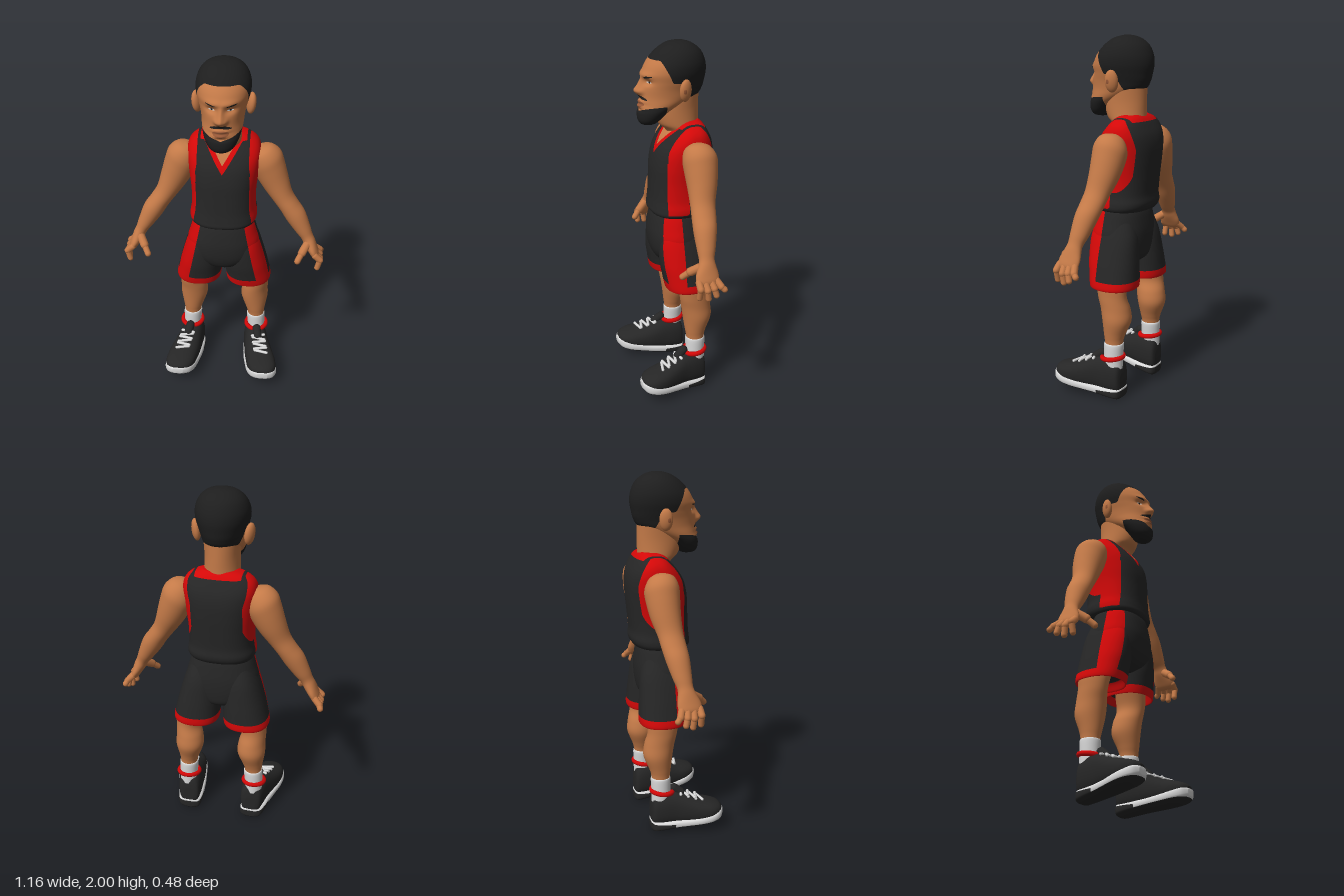
import * as THREE from 'three';

const mat = (name, color, side = THREE.FrontSide) => Object.assign(new THREE.MeshStandardMaterial({ color, side }), { name });
const V = (x, y, z) => new THREE.Vector3(x, y, z);
const UP = V(0, 1, 0), FRONT = V(0, 0, 1);

// Smooth blend through the rows of a table, u in 0..1
function sample(rows, u) {
  const s = u * (rows.length - 1), i = Math.min(Math.floor(s), rows.length - 2), t = s - i;
  const at = k => rows[Math.max(0, Math.min(rows.length - 1, k))];
  return rows[0].map((_, c) => {
    const [p, q, r, w] = [at(i - 1)[c], at(i)[c], at(i + 1)[c], at(i + 2)[c]];
    return q + 0.5 * t * (r - p + t * (2 * p - 5 * q + 4 * r - w + t * (3 * (q - r) + w - p)));
  });
}

// Closed skin over rounded sections [x, y, z, half width, half depth] stacked along T
function loft(rows, T, D, { seg = 32, steps = 40, power = 2, shape } = {}) {
  const U = D.clone().cross(T), pos = [], idx = [];
  const pw = v => Math.sign(v) * Math.abs(v) ** (2 / power);
  for (let i = 0; i <= steps; i++) {
    const [x, y, z, a, b] = sample(rows, i / steps);
    for (let j = 0; j < seg; j++) {
      const t = (j / seg) * Math.PI * 2;
      const p = V(x, y, z).addScaledVector(U, Math.max(a, 0.001) * pw(Math.cos(t)))
        .addScaledVector(D, Math.max(b, 0.001) * pw(Math.sin(t)));
      if (shape) shape(p);
      pos.push(p.x, p.y, p.z);
      if (i < steps) {
        const q = i * seg + j, r = i * seg + (j + 1) % seg;
        idx.push(q, r, r + seg, q, r + seg, q + seg);
      }
    }
  }
  const n = pos.length / 3, last = n - seg;
  pos.push(...rows[0].slice(0, 3), ...rows[rows.length - 1].slice(0, 3));
  for (let j = 0; j < seg; j++) {
    const k = (j + 1) % seg;
    idx.push(n, k, j, n + 1, last + j, last + k);
  }
  const g = new THREE.BufferGeometry();
  g.setAttribute('position', new THREE.Float32BufferAttribute(pos, 3));
  g.setIndex(idx);
  g.computeVertexNormals();
  return g;
}
// Upright body from [y, x, front z, back z, half width]
const body = (rows, opt) => loft(rows.map(([y, x, f, b, a]) => [x, y, (f + b) / 2, a, (f - b) / 2]), UP, FRONT, opt);
// Lengthwise body from [z, x, bottom y, top y, half width]
const along = (rows, opt) => loft(rows.map(([z, x, b, t, a]) => [x, (b + t) / 2, z, a, (t - b) / 2]), FRONT, UP, opt);

function capsule(p, q, r) {
  const d = q.clone().sub(p), g = new THREE.CapsuleGeometry(r, d.length(), 4, 10);
  g.applyQuaternion(new THREE.Quaternion().setFromUnitVectors(UP, d.clone().normalize()));
  return g.translate(...p.clone().add(q).multiplyScalar(0.5).toArray());
}

// Keep the part of a surface where f(point) > 0
function clip(geo, f) {
  const g = geo.index ? geo.toNonIndexed() : geo, P = g.attributes.position, N = g.attributes.normal, pos = [], nor = [];
  for (let i = 0; i < P.count; i += 3) {
    const tri = [0, 1, 2].map(k => {
      const p = V().fromBufferAttribute(P, i + k);
      return { p, n: V().fromBufferAttribute(N, i + k), d: f(p) };
    }), out = [];
    tri.forEach((a, k) => {
      const b = tri[(k + 1) % 3];
      if (a.d > 0) out.push(a);
      if (a.d > 0 !== b.d > 0) {
        const t = a.d / (a.d - b.d);
        out.push({ p: a.p.clone().lerp(b.p, t), n: a.n.clone().lerp(b.n, t).normalize() });
      }
    });
    for (let k = 1; k < out.length - 1; k++) for (const v of [out[0], out[k], out[k + 1]]) {
      pos.push(v.p.x, v.p.y, v.p.z);
      nor.push(v.n.x, v.n.y, v.n.z);
    }
  }
  const r = new THREE.BufferGeometry();
  r.setAttribute('position', new THREE.Float32BufferAttribute(pos, 3));
  r.setAttribute('normal', new THREE.Float32BufferAttribute(nor, 3));
  return r;
}

function mirror(geo) {
  const g = geo.index ? geo.toNonIndexed() : geo.clone();
  g.scale(-1, 1, 1);
  for (const a of [g.attributes.position, g.attributes.normal]) for (let i = 0; i < a.count; i += 3) {
    const p = V().fromBufferAttribute(a, i), q = V().fromBufferAttribute(a, i + 2);
    a.setXYZ(i, q.x, q.y, q.z);
    a.setXYZ(i + 2, p.x, p.y, p.z);
  }
  return g;
}

export function createModel() {
  const model = new THREE.Group();
  const skin = mat('skin', 0xc47a48), lip = mat('lips', 0x9a5a38), hair = mat('hair', 0x1e1e1e), cloth = mat('black cloth', 0x262626);
  const red = mat('red trim', 0xd40808), white = mat('white', 0xd8d8d8);
  const add = (name, geo, m) => {
    if (!geo.attributes.position.count) return;
    const mesh = new THREE.Mesh(geo, m);
    mesh.name = name;
    model.add(mesh);
  };
  const pair = (name, geo, m) => { add('left' + name, geo, m); add('right' + name, mirror(geo), m); };
  // Layers [name, material, field] are cut out in order; the rest takes the base colour
  const paint = (put, name, geo, base, layers) => {
    for (const [part, m, f] of layers) {
      put(part, clip(geo, f), m);
      geo = clip(geo, p => -f(p));
    }
    put(name, geo, base);
  };
  const abs = Math.abs, min = Math.min, max = Math.max;
  const bump = (x, y, sx, sy) => Math.exp(-((x / sx) ** 2) - (y / sy) ** 2);

  // Head with modelled nose, brow, eye sockets and lips
  const head = body([
    [1.565, 0, 0.13, 0.08, 0.02], [1.575, 0, 0.15, 0.06, 0.05], [1.60, 0, 0.162, 0.03, 0.074], [1.64, 0, 0.162, -0.02, 0.094],
    [1.68, 0, 0.15, -0.10, 0.106], [1.72, 0, 0.147, -0.17, 0.112], [1.76, 0, 0.145, -0.195, 0.119],
    [1.80, 0, 0.138, -0.205, 0.13], [1.85, 0, 0.132, -0.212, 0.142], [1.90, 0, 0.107, -0.205, 0.14],
    [1.95, 0, 0.062, -0.18, 0.118], [1.985, 0, 0.01, -0.135, 0.078], [2.0, 0, -0.04, -0.09, 0.025],
  ], {
    seg: 96, steps: 110, shape: p => {
      if (p.z < 0.02) return;
      const x = abs(p.x), y = p.y;
      p.z += 0.034 * bump(x, y - 1.752, 0.022, 0.025) + 0.018 * bump(x, y - 1.79, 0.014, 0.03) + 0.012 * bump(x - 0.024, y - 1.748, 0.012, 0.014)
        + 0.010 * bump(x - 0.035, y - 1.835, 0.05, 0.016) - 0.016 * bump(x - 0.048, y - 1.80, 0.026, 0.016)
        + 0.012 * bump(x, y - 1.694, 0.04, 0.009) + 0.012 * bump(x, y - 1.672, 0.035, 0.009) - 0.01 * bump(x, y - 1.65, 0.04, 0.008);
    },
  });
  const front = (p, f) => (p.z > 0.02 ? f : -1);
  const spot = (p, x, y, sx, sy) => front(p, 1 - ((abs(p.x) - x) / sx) ** 2 - ((p.y - y) / sy) ** 2);
  const nape = z => 1.80 - 0.085 * min(1, max(0, (-0.06 - z) / 0.04));
  paint(add, 'head', head, skin, [
    ['hair', hair, p => max(p.y - 1.915, min(0.005 + 0.5 * (p.y - 1.8) - p.z, p.y - nape(p.z)))],
    ['beard', hair, p => min(1.642 + 0.32 * abs(p.x) - p.y, p.z - 0.03)],
    ['moustache', hair, p => front(p, 1 - (p.x / 0.058) ** 2 - ((p.y - 1.722 + 0.25 * abs(p.x)) / 0.009) ** 2)],
    ['lips', lip, p => spot(p, 0, 1.683, 0.043, 0.018)],
    ['pupils', hair, p => spot(p, 0.048, 1.80, 0.007, 0.006)],
    ['eyes', white, p => spot(p, 0.048, 1.80, 0.018, 0.005)],
    ['eyebrows', hair, p => front(p, 1 - ((abs(p.x) - 0.054) / 0.03) ** 2 - ((p.y - 1.817 - 0.2 * abs(p.x)) / 0.005) ** 2)],
  ]);
  const ear = new THREE.SphereGeometry(1, 20, 14).scale(0.024, 0.06, 0.036).rotateY(0.4).rotateZ(-0.12).translate(0.142, 1.765, -0.055);
  pair('Ear', ear, skin);
  pair('EarHollow', new THREE.SphereGeometry(1, 12, 8).scale(0.008, 0.028, 0.015).translate(0.161, 1.772, -0.045), lip);
  add('neck', body([[1.42, 0, -0.02, -0.19, 0.10], [1.52, 0, 0.002, -0.18, 0.10], [1.57, 0, 0.05, -0.175, 0.096],
    [1.65, 0, 0.07, -0.175, 0.094], [1.74, 0, 0.05, -0.175, 0.098]]), skin);

  // Jersey with V collar, arm hole trim and side panels
  const jersey = body([
    [1.09, 0, 0.06, -0.16, 0.13], [1.065, 0, 0.09, -0.195, 0.168], [1.08, 0, 0.104, -0.215, 0.185], [1.11, 0, 0.102, -0.225, 0.187],
    [1.16, 0, 0.097, -0.222, 0.179], [1.25, 0, 0.093, -0.23, 0.179], [1.34, 0, 0.088, -0.238, 0.188], [1.42, 0, 0.07, -0.24, 0.197],
    [1.48, 0, 0.036, -0.23, 0.2], [1.53, 0, -0.006, -0.207, 0.185], [1.565, 0, -0.035, -0.185, 0.145], [1.585, 0, -0.06, -0.165, 0.09],
  ], { seg: 96, steps: 80, power: 2.5 });
  const vee = (p, y) => (p.z > -0.08 ? p.y - y - 1.5 * abs(p.x) : -1);
  paint(add, 'jersey', jersey, cloth, [
    ['chest', skin, p => vee(p, 1.445)],
    ['collar', red, p => max(vee(p, 1.40), min(p.y - 1.552, 0.125 - abs(p.x)))],
    ['armHoleTrim', red, p => min(1 - Math.hypot((p.z + 0.085) / 0.125, (p.y - 1.38) / 0.205), (abs(p.x) - 0.14) * 9)],
    ['sidePanels', red, p => min(0.045 - p.z, p.z + 0.07, 1.38 - p.y, p.y - 1.085, abs(p.x) - 0.1)],
  ]);

  // Shorts: hips and two flared legs with stripe and hem
  const stripe = p => min(abs(p.x) - 0.125 - 0.2 * (1.05 - p.y), p.z + 0.03);
  paint(add, 'hips', body([
    [0.755, 0, 0.02, -0.13, 0.05], [0.79, 0, 0.07, -0.175, 0.13], [0.85, 0, 0.097, -0.19, 0.195], [0.93, 0, 0.106, -0.195, 0.205],
    [1.0, 0, 0.1, -0.19, 0.188], [1.06, 0, 0.088, -0.18, 0.17], [1.1, 0, 0.07, -0.16, 0.15],
  ], { seg: 64, power: 2.3 }), cloth, [['hipStripe', red, stripe]]);
  paint(pair, 'ShortsLeg', body([
    [0.74, 0.17, 0.0, -0.16, 0.08], [0.69, 0.15, 0.035, -0.19, 0.11], [0.645, 0.147, 0.05, -0.205, 0.125], [0.66, 0.146, 0.057, -0.212, 0.131],
    [0.72, 0.138, 0.068, -0.209, 0.126], [0.80, 0.127, 0.08, -0.203, 0.118], [0.92, 0.11, 0.08, -0.19, 0.1], [1.02, 0.09, 0.05, -0.16, 0.08],
  ], { seg: 64, power: 2.3 }), cloth, [['Hem', red, p => 0.69 - p.y], ['ShortsStripe', red, stripe]]);

  // Legs and socks
  pair('Leg', body([
    [0.24, 0.198, -0.058, -0.155, 0.048], [0.33, 0.196, -0.054, -0.158, 0.05], [0.38, 0.192, -0.047, -0.17, 0.06], [0.46, 0.185, -0.036, -0.2, 0.08],
    [0.53, 0.187, -0.025, -0.195, 0.077], [0.6, 0.198, -0.012, -0.18, 0.068], [0.68, 0.188, 0, -0.18, 0.076], [0.8, 0.15, 0.01, -0.17, 0.08],
  ]), skin);
  pair('Sock', body([[0.18, 0.2, -0.05, -0.16, 0.052], [0.25, 0.199, -0.05, -0.16, 0.053], [0.32, 0.196, -0.05, -0.162, 0.055], [0.328, 0.196, -0.06, -0.15, 0.045]]), white);

  // Arms, palms and fingers
  pair('Arm', loft([
    [0.185, 1.49, -0.10, 0.02, 0.03], [0.20, 1.468, -0.10, 0.066, 0.07], [0.225, 1.42, -0.105, 0.092, 0.092], [0.25, 1.36, -0.105, 0.09, 0.09],
    [0.285, 1.28, -0.10, 0.077, 0.08], [0.325, 1.20, -0.088, 0.06, 0.068], [0.365, 1.14, -0.08, 0.056, 0.066], [0.405, 1.08, -0.072, 0.058, 0.062],
    [0.45, 1.0, -0.062, 0.045, 0.05], [0.475, 0.955, -0.055, 0.035, 0.042], [0.492, 0.92, -0.05, 0.034, 0.05], [0.512, 0.88, -0.045, 0.029, 0.063],
    [0.53, 0.845, -0.043, 0.023, 0.06], [0.538, 0.828, -0.043, 0.008, 0.04],
  ], V(0.5, -0.86, 0).normalize(), FRONT, { steps: 56 }), skin);
  const tips = [[0.566, 0.812, -0.122], [0.564, 0.785, -0.078], [0.555, 0.768, -0.038], [0.545, 0.775, 0.008]];
  tips.forEach(([x, y, z], i) => {
    const knuckle = V(0.528, 0.855, -0.09 + i * 0.032), joint = V(0.558, 0.828 - 0.006 * (i % 3), (knuckle.z + z) / 2);
    pair('Finger' + (i + 1), capsule(knuckle, joint, 0.019), skin);
    pair('Fingertip' + (i + 1), capsule(joint, V(x, y, z), 0.0165), skin);
  });
  pair('ThumbBase', capsule(V(0.482, 0.92, -0.025), V(0.452, 0.885, 0.025), 0.024), skin);
  pair('Thumb', capsule(V(0.452, 0.885, 0.025), V(0.428, 0.85, 0.06), 0.018), skin);

  // Shoes: upper, two-tone sole, collar and laces
  pair('ShoeUpper', along([
    [-0.162, 0.19, 0.06, 0.15, 0.03], [-0.15, 0.191, 0.03, 0.215, 0.058], [-0.10, 0.196, 0.025, 0.24, 0.07], [-0.03, 0.206, 0.03, 0.238, 0.075],
    [0.04, 0.222, 0.04, 0.212, 0.084], [0.11, 0.24, 0.05, 0.187, 0.089], [0.17, 0.25, 0.065, 0.172, 0.085], [0.215, 0.254, 0.08, 0.157, 0.062], [0.234, 0.256, 0.1, 0.14, 0.025],
  ], { power: 2.4 }), cloth);
  const tread = p => 0.165 * (p.z + 0.16) + 0.014 - p.y;
  paint(pair, 'Sole', along([
    [-0.165, 0.19, 0.012, 0.06, 0.03], [-0.15, 0.191, 0.0, 0.068, 0.062], [-0.10, 0.197, 0.008, 0.07, 0.075], [-0.03, 0.207, 0.02, 0.078, 0.08],
    [0.04, 0.222, 0.031, 0.088, 0.088], [0.11, 0.24, 0.042, 0.105, 0.094], [0.17, 0.25, 0.052, 0.122, 0.091], [0.215, 0.255, 0.065, 0.134, 0.07], [0.24, 0.257, 0.088, 0.125, 0.03],
  ], { power: 3 }), white, [['Tread', cloth, tread], ['HeelSole', cloth, p => min(-0.04 - p.z, 0.052 - p.y)]]);
  pair('ShoeCollar', new THREE.TorusGeometry(0.06, 0.014, 8, 28).rotateX(Math.PI / 2 + 0.12).translate(0.2, 0.242, -0.1), red);
  pair('Tongue', capsule(V(0.207, 0.25, -0.03), V(0.215, 0.222, 0.005), 0.026), cloth);
  for (let i = 0; i < 6; i++) {
    const z = 0.005 + i * 0.021, y = 0.229 - i * 0.0075, x = 0.218 + i * 0.0045, s = i % 2 ? 0.008 : -0.008;
    pair('Lace' + (i + 1), capsule(V(x - 0.036, y - 0.004, z - s), V(x + 0.036, y - 0.004, z + s), 0.0085), white);
  }
  return model;
}
